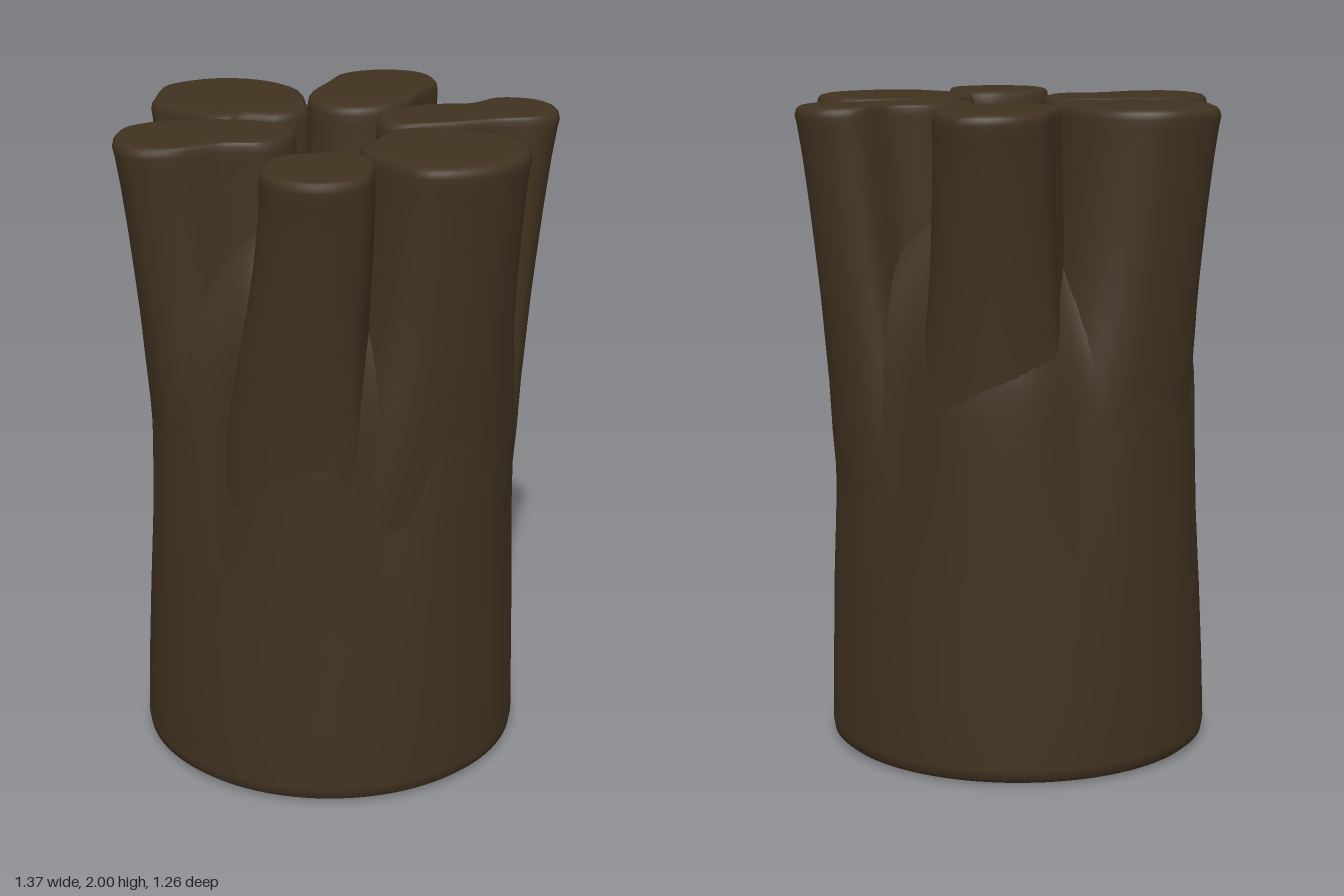
import * as THREE from 'three';

const SIDES = 48;
const { lerp, smoothstep } = THREE.MathUtils;

// Skin over closed rings of [x, y, z] points, listed bottom to top
function loft(rings) {
  const n = rings[0].length, index = [];
  for (let i = 0; i < rings.length - 1; i++) {
    for (let j = 0; j < n; j++) {
      const a = i * n + j, b = i * n + (j + 1) % n;
      index.push(a, a + n, b, b, a + n, b + n);
    }
  }
  const g = new THREE.BufferGeometry();
  g.setAttribute('position', new THREE.Float32BufferAttribute(rings.flat(2), 3));
  g.setIndex(index);
  g.computeVertexNormals();
  return g;
}

// Smooth closed outline in x/z, always wound from +x towards +z
function outline(points) {
  const curve = new THREE.CatmullRomCurve3(
    points.map(([x, z]) => new THREE.Vector3(x, 0, z)), true);
  const pts = curve.getSpacedPoints(SIDES).slice(0, SIDES).map(p => [p.x, p.z]);
  const area = pts.reduce((s, p, i) => {
    const q = pts[(i + 1) % SIDES];
    return s + p[0] * q[1] - q[0] * p[1];
  }, 0);
  return area < 0 ? pts.reverse() : pts;
}

// Rounded edge and flat top: [drop below the top, scale about the middle]
const CAP = [[0.03, 1], [0.012, 0.985], [0.003, 0.95], [0, 0.9], [0, 0.6], [0, 0]];

// Limb profile: [height, radial scale, sideways scale]
const LIMB = [
  [0.5, 0.76, 1.3], [0.8, 0.81, 1.4], [1.0, 0.835, 1.4], [1.15, 0.85, 1.33], [1.3, 0.873, 1.22],
  [1.42, 0.89, 1.14], [1.55, 0.912, 1.08], [1.7, 0.938, 1.04], [1.85, 0.968, 1.01], [1.94, 0.99, 1],
];

// Limb from its top outline; lean turns its foot around the trunk
function limb(points, lean = 0, top = 2) {
  const base = outline(points);
  const cx = base.reduce((s, p) => s + p[0], 0) / SIDES;
  const cz = base.reduce((s, p) => s + p[1], 0) / SIDES;
  const len = Math.hypot(cx, cz), ux = cx / len, uz = cz / len;
  const rings = LIMB.map(([y, f, w]) => {
    const turn = Math.atan2(uz, ux) + lean * (1 - smoothstep(y, 1.1, 1.95));
    const c = Math.cos(turn), s = Math.sin(turn);
    return base.map(([x, z]) => {
      const along = (x * ux + z * uz) * f, across = (z * ux - x * uz) * w;
      return [along * c - across * s, y * top / 2, along * s + across * c];
    });
  });
  for (const [drop, s] of CAP) {
    rings.push(base.map(([x, z]) => [lerp(cx, x, s), top - drop, lerp(cz, z, s)]));
  }
  return loft(rings);
}

// Trunk profile: [height, radius]; the upper part rises between the limbs
const TRUNK = [
  [0, 0], [0, 0.4], [0, 0.54], [0.006, 0.568], [0.02, 0.585], [0.05, 0.59], [0.25, 0.585], [0.5, 0.578],
  [0.75, 0.575], [0.95, 0.576], [1.1, 0.577], [1.2, 0.573], [1.29, 0.56], [1.37, 0.535], [1.46, 0.49],
  [1.55, 0.425], [1.65, 0.335], [1.75, 0.225], [1.83, 0.11], [1.86, 0],
];

// Grooves between neighbouring limbs: [angle in degrees, lift of the crotch]
const GROOVES = [[31, 0], [87, 0.16], [144, -0.03], [216, -0.03], [277, 0.05], [329, 0]];

function trunk() {
  return loft(TRUNK.map(([y, r]) => Array.from({ length: 120 }, (_, j) => {
    const a = j / 120 * Math.PI * 2;
    let groove = 0, lift = 0;
    for (const [deg, up] of GROOVES) {
      const turn = a - deg * Math.PI / 180;
      const d = Math.atan2(Math.sin(turn), Math.cos(turn));
      groove += Math.exp(-((d / 0.22) ** 2));
      lift += up * Math.exp(-((d / 0.35) ** 2));
    }
    const k = r * (1 - 0.085 * groove * smoothstep(y, 0.4, 1.3));
    const shift = -0.012 * (1 - smoothstep(y, 0, 1.2));
    const rise = lift * smoothstep(y, 0.8, 1.45) * (1 - smoothstep(y, 1.5, 1.86));
    return [k * Math.cos(a) + shift, y + rise, k * Math.sin(a) - shift * 0.6];
  })));
}

// Top outlines of the limbs in x/z
const LIMBS = {
  leftLimb: [[0.685, 0], [0.645, -0.13], [0.53, -0.22], [0.36, -0.17], [0.23, -0.11], [0.19, -0.02],
    [0.22, 0.06], [0.25, 0.17], [0.34, 0.215], [0.54, 0.23], [0.64, 0.13]],
  rightLimb: [[-0.685, 0.03], [-0.63, -0.14], [-0.5, -0.22], [-0.34, -0.21], [-0.22, -0.12], [-0.14, -0.03],
    [-0.17, 0.07], [-0.25, 0.13], [-0.28, 0.2], [-0.42, 0.215], [-0.55, 0.22], [-0.62, 0.14]],
  backRightLimb: [[-0.19, -0.635], [-0.31, -0.58], [-0.37, -0.46], [-0.33, -0.33], [-0.27, -0.18],
    [-0.18, -0.11], [-0.07, -0.13], [0, -0.21], [0.02, -0.3], [-0.03, -0.45], [-0.07, -0.57]],
  backLeftLimb: [[0.3, -0.61], [0.41, -0.57], [0.455, -0.46], [0.36, -0.33], [0.28, -0.2], [0.17, -0.08],
    [0.08, -0.1], [0.04, -0.2], [0.08, -0.32], [0.18, -0.43], [0.2, -0.55]],
  frontRightLimb: [[-0.24, 0.63], [-0.36, 0.57], [-0.42, 0.46], [-0.37, 0.32], [-0.25, 0.2], [-0.13, 0.13],
    [-0.03, 0.14], [0.03, 0.23], [0.03, 0.32], [-0.06, 0.41], [-0.13, 0.56]],
  frontLeftLimb: [[0.3, 0.585], [0.42, 0.54], [0.485, 0.42], [0.42, 0.3], [0.35, 0.23], [0.25, 0.24],
    [0.17, 0.33], [0.135, 0.41], [0.2, 0.54]],
};
const LEAN = { frontLeftLimb: 0.15 };

export function createModel() {
  const model = new THREE.Group();
  model.name = 'branchingStump';
  const bark = new THREE.MeshStandardMaterial({ color: 0x413220 });
  bark.name = 'darkBark';
  const add = (name, geometry) => {
    const mesh = new THREE.Mesh(geometry, bark);
    mesh.name = name;
    model.add(mesh);
  };

  add('trunk', trunk());
  for (const [name, points] of Object.entries(LIMBS)) add(name, limb(points, LEAN[name]));

  // Short shoot in the middle of the crown
  add('innerShoot', limb([[0.08, 0.1], [0.14, 0.05], [0.23, 0.04], [0.28, 0.1], [0.24, 0.17], [0.15, 0.19]], 0, 1.92));
  return model;
}
